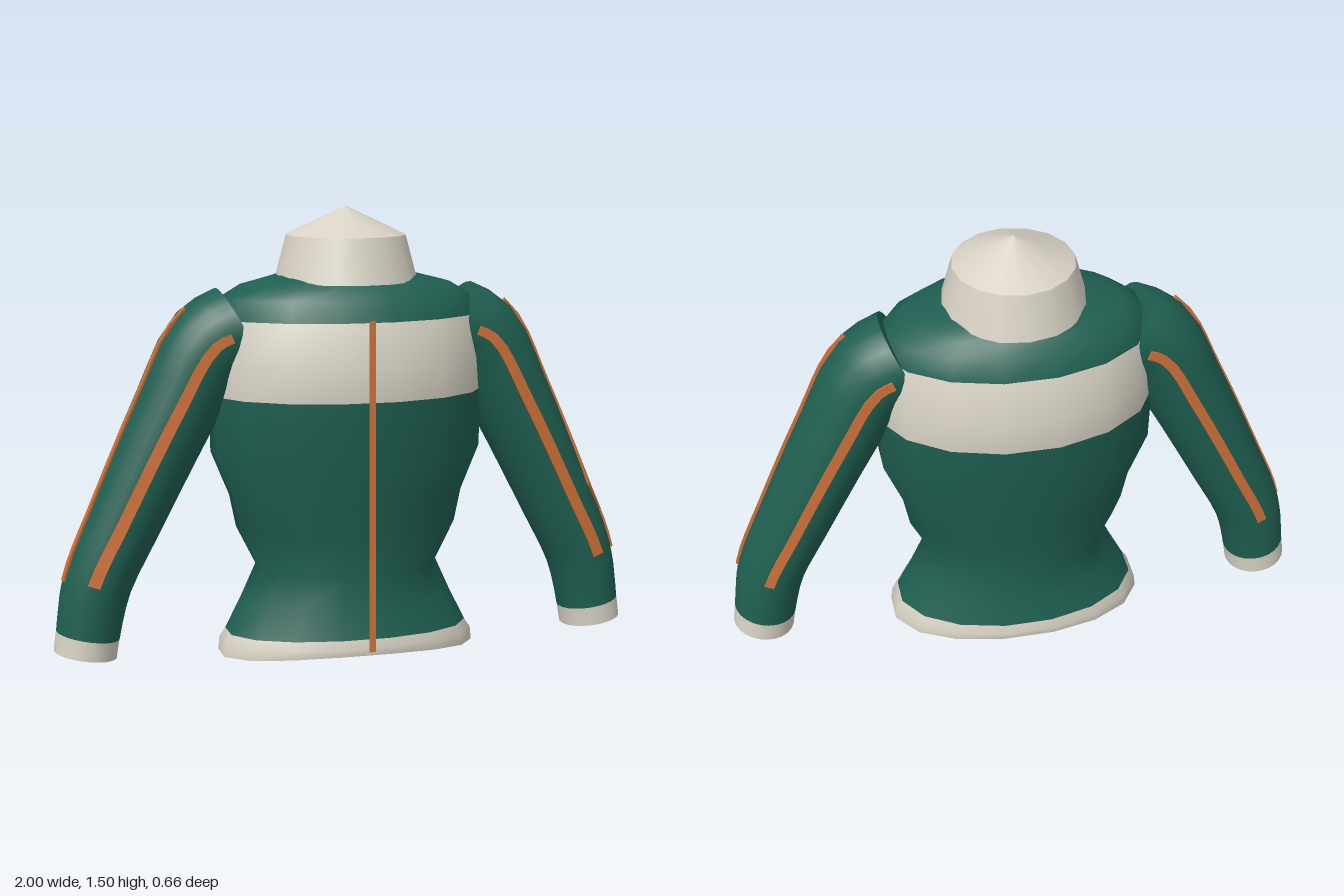
import * as THREE from 'three';

const ZC = -0.01; // depth centre of the garment
const green = new THREE.MeshStandardMaterial({ color: 0x1f5f51 });
green.name = 'green cloth';
const cream = new THREE.MeshStandardMaterial({ color: 0xd8d2c4 });
cream.name = 'cream cloth';
const orange = new THREE.MeshStandardMaterial({ color: 0xcf7038 });
orange.name = 'orange piping';
const CLOTH = [green, cream];

// Skin a stack of rings; bands[j] is the material index between rings j and j + 1
function loft(rings, bands, caps = [null, null]) {
  const n = rings[0].length;
  const pos = rings.flat().flatMap(p => [p.x, p.y, p.z]);
  const index = [];
  const geo = new THREE.BufferGeometry();
  bands.forEach((m, j) => {
    geo.addGroup(index.length, n * 6, m);
    for (let i = 0; i < n; i++) {
      const a = j * n + i, b = j * n + (i + 1) % n;
      index.push(a, b, b + n, a, b + n, a + n);
    }
  });
  caps.forEach((m, end) => {
    if (m === null) return;
    const ring = end ? rings[rings.length - 1] : rings[0];
    const c = new THREE.Vector3();
    ring.forEach(p => c.addScaledVector(p, 1 / n));
    const base = pos.length / 3;
    [...ring, c].forEach(p => pos.push(p.x, p.y, p.z));
    geo.addGroup(index.length, n * 3, m);
    for (let i = 0; i < n; i++) {
      const a = base + i, b = base + (i + 1) % n;
      index.push(base + n, ...(end ? [a, b] : [b, a]));
    }
  });
  geo.setAttribute('position', new THREE.Float32BufferAttribute(pos, 3));
  geo.setIndex(index);
  geo.computeVertexNormals();
  return geo;
}

function named(geo, mat, name) {
  const mesh = new THREE.Mesh(geo, mat);
  mesh.name = name;
  return mesh;
}

// Sixteen-sided oval ring; dip raises the front and back above the sides
function oval(y, w, d, dip = 0) {
  return Array.from({ length: 16 }, (_, i) => {
    const a = (i + 0.5) * Math.PI / 8;
    return new THREE.Vector3(w / 0.98 * Math.sin(a), y + dip * Math.cos(a) ** 2,
      ZC + d / 0.98 * Math.cos(a));
  });
}

// Sleeve centre line: x, y and radius
const sleeveLine = new THREE.CatmullRomCurve3([
  [0.37, 1.11, 0.15], [0.465, 1.06, 0.148], [0.58, 0.85, 0.14], [0.755, 0.49, 0.125],
  [0.85, 0.28, 0.115], [0.885, 0.105, 0.106], [0.895, 0.04, 0.105],
].map(p => new THREE.Vector3(...p)));

// Point on the sleeve: angle 0 faces outward, a quarter turn faces the front
function sleevePoint(side, u, a, lift = 0) {
  const p = sleeveLine.getPoint(u), t = sleeveLine.getTangent(u);
  const len = Math.hypot(t.x, t.y), r = p.z + lift;
  const k = Math.cos(a) * r / len;
  return new THREE.Vector3(side * (p.x - t.y * k), p.y + t.x * k,
    ZC + Math.sin(a) * (r + 0.005));
}

const orient = (side, ring) => (side > 0 ? ring : ring.reverse());

function sleeve(side) {
  const rings = Array.from({ length: 19 }, (_, k) => orient(side,
    Array.from({ length: 24 }, (_, i) => sleevePoint(side, k / 18, i * Math.PI / 12))));
  return loft(rings, rings.slice(1).map((_, k) => (k < 15 ? 0 : 1)), [0, 1]);
}

// Raised strip along the sleeve; angle and half width are blended from start to end
function piping(side, u0, u1, a0, a1, w0, w1) {
  const rings = Array.from({ length: 15 }, (_, k) => {
    const s = k / 14, u = THREE.MathUtils.lerp(u0, u1, s);
    const a = THREE.MathUtils.lerp(a0, a1, s), w = THREE.MathUtils.lerp(w0, w1, s);
    return orient(side, [[-w, 0.007], [w, 0.007], [w, -0.008], [-w, -0.008]]
      .map(([da, lift]) => sleevePoint(side, u, a + da, lift)));
  });
  const geo = loft(rings, rings.slice(1).map(() => 0), [0, 0]).toNonIndexed();
  geo.clearGroups();
  geo.computeVertexNormals();
  return geo;
}

export function createModel() {
  const model = new THREE.Group();
  model.name = 'jacket';

  // Body: hem, waist, chest band and shoulders; height, half width, half depth, dip, band above
  const profile = [
    [0.005, 0.435, 0.27, 0.035, 1], [0.05, 0.43, 0.275, 0.015, 1], [0.08, 0.41, 0.262, 0.012, 0],
    [0.19, 0.355, 0.245, 0, 0], [0.3, 0.305, 0.233, 0, 0], [0.43, 0.37, 0.25, 0, 0],
    [0.54, 0.392, 0.267, 0, 0], [0.69, 0.453, 0.292, 0, 0], [0.89, 0.457, 0.316, 0, 1],
    [1.0, 0.457, 0.32, 0, 1], [1.145, 0.44, 0.285, 0, 0], [1.21, 0.415, 0.25, 0, 0],
    [1.25, 0.35, 0.222, 0, 0], [1.283, 0.22, 0.18, 0, 0],
  ];
  model.add(named(loft(profile.map(([y, w, d, dip]) => oval(y, w, d, dip)),
    profile.slice(0, -1).map(p => p[4]), [1, 0]), CLOTH, 'body'));

  // Collar and its pointed top
  const collar = named(new THREE.CylinderGeometry(0.2, 0.24, 0.15, 16, 1, true), cream, 'collar');
  collar.position.set(0, 1.335, ZC);
  const collarTop = named(new THREE.ConeGeometry(0.2, 0.095, 16, 1, true), cream, 'collarTop');
  collarTop.position.set(0, 1.4575, ZC);
  model.add(collar, collarTop);

  // Front zip, standing just off the cloth
  const zip = named(new THREE.BoxGeometry(0.018, 1.085, 0.011), orange, 'zip');
  zip.position.set(0, 0.613, 0.322);
  zip.rotation.x = -0.007;
  model.add(zip);

  // Sleeves with cuffs and piping on the front, back and outer side
  for (const side of [1, -1]) {
    const arm = new THREE.Group();
    arm.name = side > 0 ? 'leftSleeve' : 'rightSleeve';
    arm.add(
      named(sleeve(side), CLOTH, 'sleeveAndCuff'),
      named(piping(side, 0.08, 0.665, 1.55, 1.32, 0.1, 0.17), orange, 'frontPiping'),
      named(piping(side, 0.08, 0.665, -1.55, -1.38, 0.1, 0.14), orange, 'backPiping'),
      named(piping(side, 0.15, 0.68, 0.19, 0.19, 0.05, 0.09), orange, 'outerPiping'),
    );
    // Small stray fold of piping on the left sleeve
    if (side > 0) {
      arm.add(named(piping(side, 0.38, 0.5, 0.24, 0.5, 0.03, 0.09), orange, 'pipingFoldUpper'),
        named(piping(side, 0.5, 0.58, 0.5, 0.24, 0.09, 0.03), orange, 'pipingFoldLower'));
    }
    model.add(arm);
  }
  return model;
}
